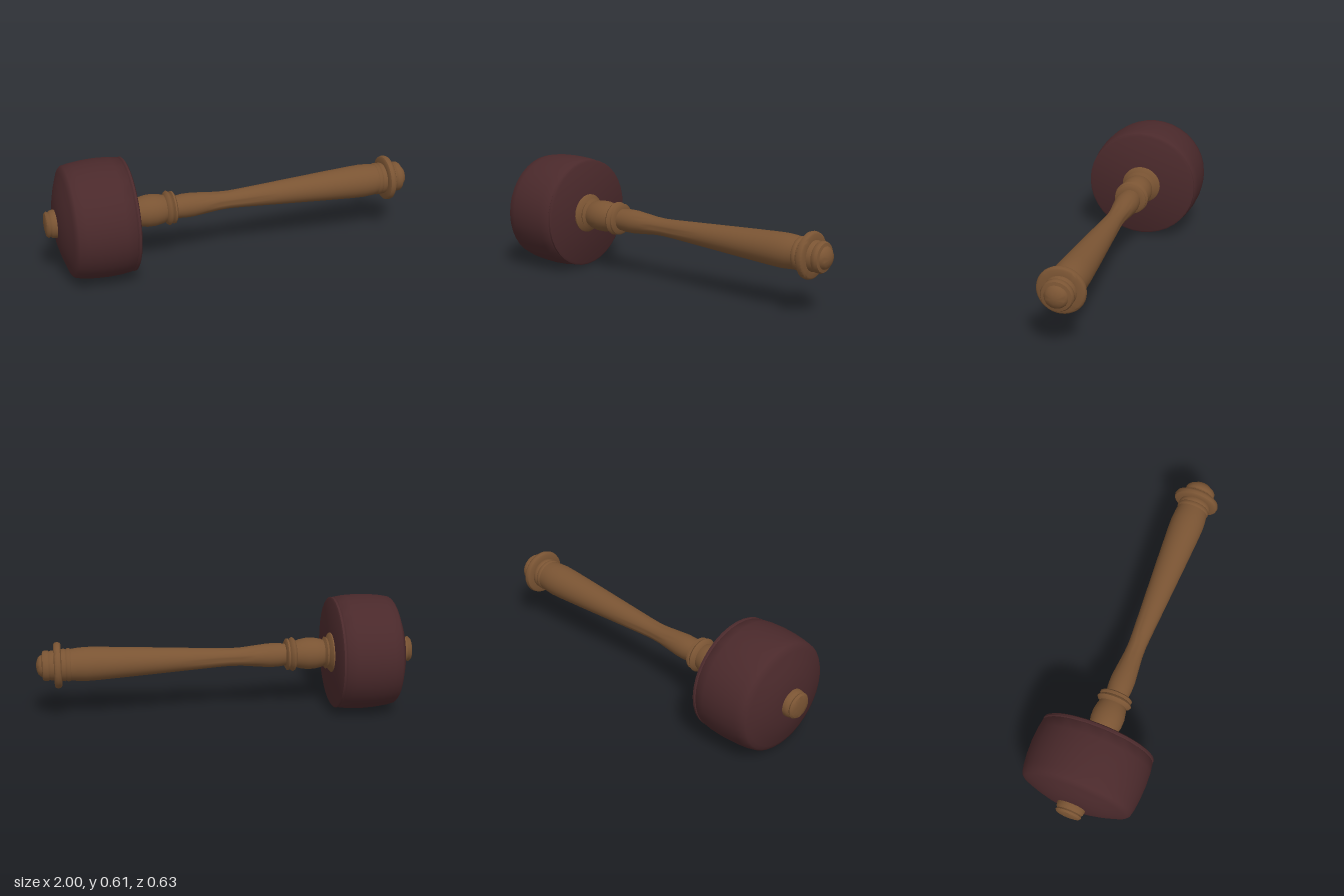
import * as THREE from 'three';
import { toCreasedNormals } from 'three/addons/utils/BufferGeometryUtils.js';

const AXIS_HEIGHT = 0.308;

// Turns a profile of [x, radius] pairs around the long axis.
function turned(name, profile, material, sides) {
  const points = profile.map(([x, r]) => new THREE.Vector2(r, x));
  const lathe = new THREE.LatheGeometry(points, sides);
  lathe.rotateZ(-Math.PI / 2);
  lathe.scale(1, 1, 1.03);
  const mesh = new THREE.Mesh(toCreasedNormals(lathe, 0.7), material);
  mesh.name = name;
  return mesh;
}

export function createModel() {
  const group = new THREE.Group();
  group.name = 'mallet';
  const wood = new THREE.MeshStandardMaterial({ color: 0x7a5433 });
  wood.name = 'brown wood';
  const darkWood = new THREE.MeshStandardMaterial({ color: 0x4a292b });
  darkWood.name = 'dark red wood';

  // Barrel-shaped head with a domed striking face and a thin rear lip
  const head = turned('head', [
    [-0.945, 0], [-0.945, 0.08], [-0.937, 0.14], [-0.92, 0.2], [-0.9, 0.255],
    [-0.892, 0.275], [-0.88, 0.287], [-0.84, 0.296], [-0.78, 0.303], [-0.71, 0.306],
    [-0.64, 0.303], [-0.59, 0.296], [-0.585, 0.291], [-0.58, 0.296], [-0.57, 0.295],
    [-0.564, 0.285], [-0.564, 0],
  ], darkWood, 36);

  // Turned peg showing through the striking face
  const peg = turned('endPeg', [
    [-1, 0], [-1, 0.035], [-0.995, 0.06], [-0.985, 0.068], [-0.976, 0.062],
    [-0.968, 0.07], [-0.95, 0.073], [-0.93, 0.073],
  ], wood, 28);

  // Collar, bulb and double bead next to the head
  const neck = turned('neck', [
    [-0.57, 0.105], [-0.558, 0.105], [-0.55, 0.095], [-0.542, 0.078], [-0.53, 0.086],
    [-0.52, 0.07], [-0.505, 0.076], [-0.47, 0.083], [-0.43, 0.084], [-0.39, 0.077],
    [-0.37, 0.07], [-0.362, 0.085], [-0.352, 0.091], [-0.342, 0.085], [-0.336, 0.075],
    [-0.33, 0.085], [-0.322, 0.085], [-0.315, 0.075], [-0.312, 0.056],
  ], wood, 32);

  // Slender grip swelling toward the free end
  const grip = turned('grip', [
    [-0.315, 0.058], [-0.27, 0.063], [-0.22, 0.063], [-0.15, 0.056], [-0.08, 0.049],
    [-0.02, 0.047], [0.05, 0.05], [0.25, 0.062], [0.5, 0.077], [0.68, 0.087],
    [0.74, 0.089], [0.79, 0.086], [0.82, 0.082], [0.826, 0.086], [0.838, 0.086],
    [0.845, 0.081], [0.852, 0.085], [0.864, 0.084], [0.875, 0.08],
  ], wood, 32);

  // Round flange and stepped button on the free end
  const flange = turned('flange', [
    [0.868, 0.07], [0.868, 0.108], [0.874, 0.117], [0.888, 0.121], [0.901, 0.117],
    [0.907, 0.108], [0.907, 0.07],
  ], wood, 36);
  const button = turned('endButton', [
    [0.9, 0.08], [0.922, 0.078], [0.93, 0.074], [0.938, 0.08], [0.955, 0.08],
    [0.965, 0.074], [0.969, 0.058], [0.978, 0.054], [0.988, 0.044], [0.996, 0.025], [1, 0],
  ], wood, 28);

  group.add(head, peg, neck, grip, flange, button);
  for (const part of group.children) part.position.y = AXIS_HEIGHT;
  return group;
}
